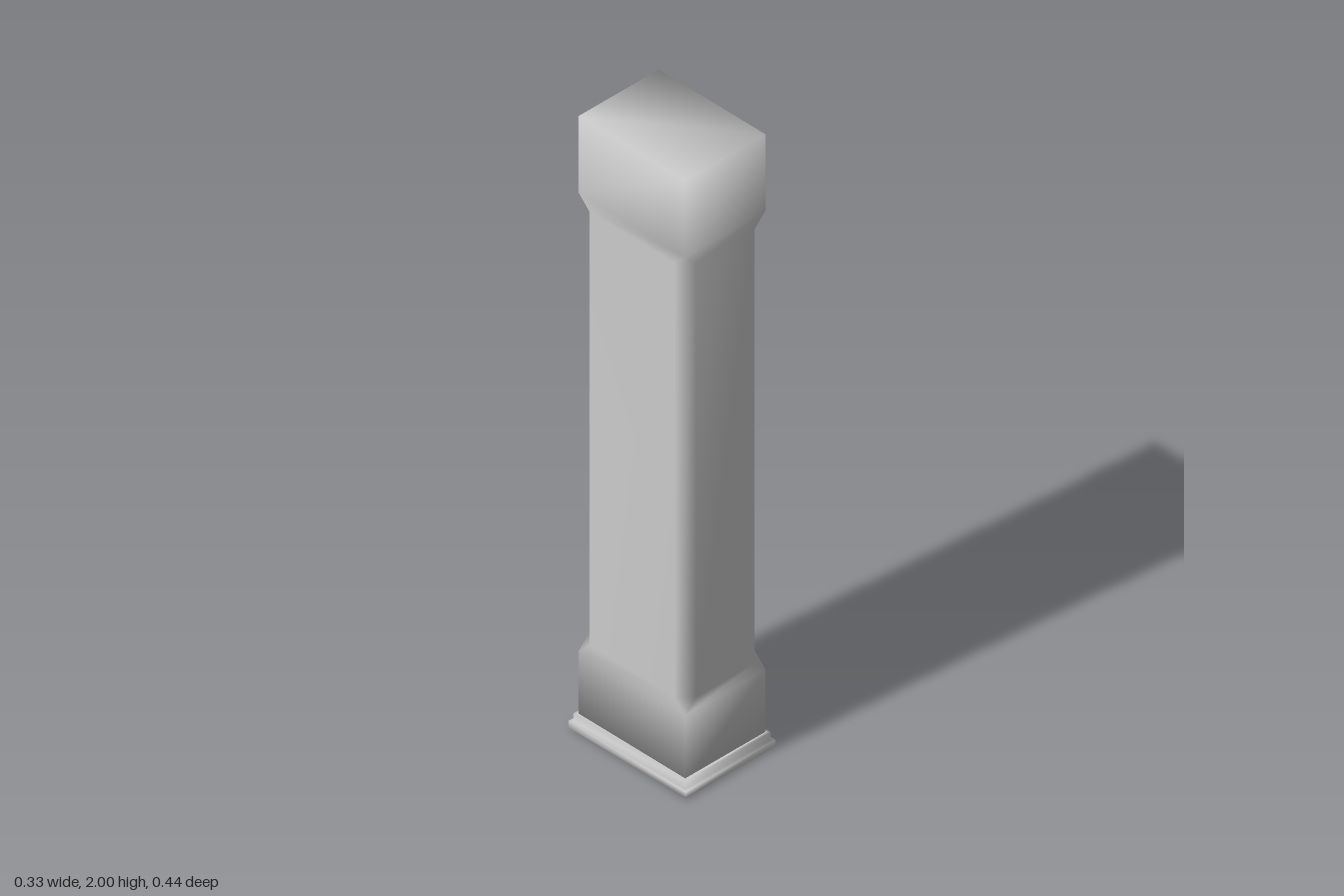
import * as THREE from 'three';

// Rings of [half width, half depth, height, corner cut], joined bottom to top with shared normals
function loftRings(rings) {
  const positions = [], indices = [];
  const loops = rings.map(([w, d, y, cut]) => {
    const loop = [];
    const add = (x, z) => positions.push(x, y, z) / 3 - 1;
    [[1, 1], [1, -1], [-1, -1], [-1, 1]].forEach(([sx, sz], i) => {
      if (!cut) {
        const corner = add(sx * w, sz * d);
        loop.push(corner, corner);
        return;
      }
      const a = [sx * (w - cut), sz * d], b = [sx * w, sz * (d - cut)];
      const pair = i % 2 ? [b, a] : [a, b];
      pair.forEach(p => loop.push(add(...p)));
    });
    return loop;
  });
  // Square rings repeat a corner, so skip collapsed triangles
  const tri = (a, b, c) => {
    if (a !== b && b !== c && c !== a) indices.push(a, b, c);
  };
  for (let r = 0; r < loops.length - 1; r++) {
    for (let i = 0; i < 8; i++) {
      const j = (i + 1) % 8;
      const [a, b, c, d] = [loops[r][i], loops[r][j], loops[r + 1][j], loops[r + 1][i]];
      tri(a, b, c);
      tri(a, c, d);
    }
  }
  const bottom = loops[0], top = loops[loops.length - 1];
  for (let i = 1; i < 7; i++) {
    tri(bottom[0], bottom[i + 1], bottom[i]);
    tri(top[0], top[i], top[i + 1]);
  }
  const geometry = new THREE.BufferGeometry();
  geometry.setAttribute('position', new THREE.Float32BufferAttribute(positions, 3));
  geometry.setIndex(indices);
  geometry.computeVertexNormals();
  return geometry;
}

export function createModel() {
  const group = new THREE.Group();
  group.name = 'pillar';
  const material = new THREE.MeshStandardMaterial({ color: 0xcccccc });
  const addPart = (name, rings) => {
    const mesh = new THREE.Mesh(loftRings(rings), material);
    mesh.name = name;
    group.add(mesh);
  };

  // Square foot and head blocks with a chamfered shaft between them
  const w = 0.147, d = 0.2, cut = 0.04;
  addPart('column', [
    [w, d, 0.03, 0],
    [w, d, 0.255, 0],
    [w, d, 0.295, cut],
    [w, d, 1.71, cut],
    [w, d, 1.75, 0],
    [w, d, 2, 0],
  ]);

  // Stepped base moulding
  addPart('base', [
    [w, d, 0, 0],
    [0.157, 0.212, 0, 0],
    [0.165, 0.22, 0.005, 0],
    [0.165, 0.22, 0.026, 0],
    [0.156, 0.21, 0.026, 0],
    [0.156, 0.21, 0.051, 0],
    [w, d, 0.051, 0],
  ]);
  return group;
}
